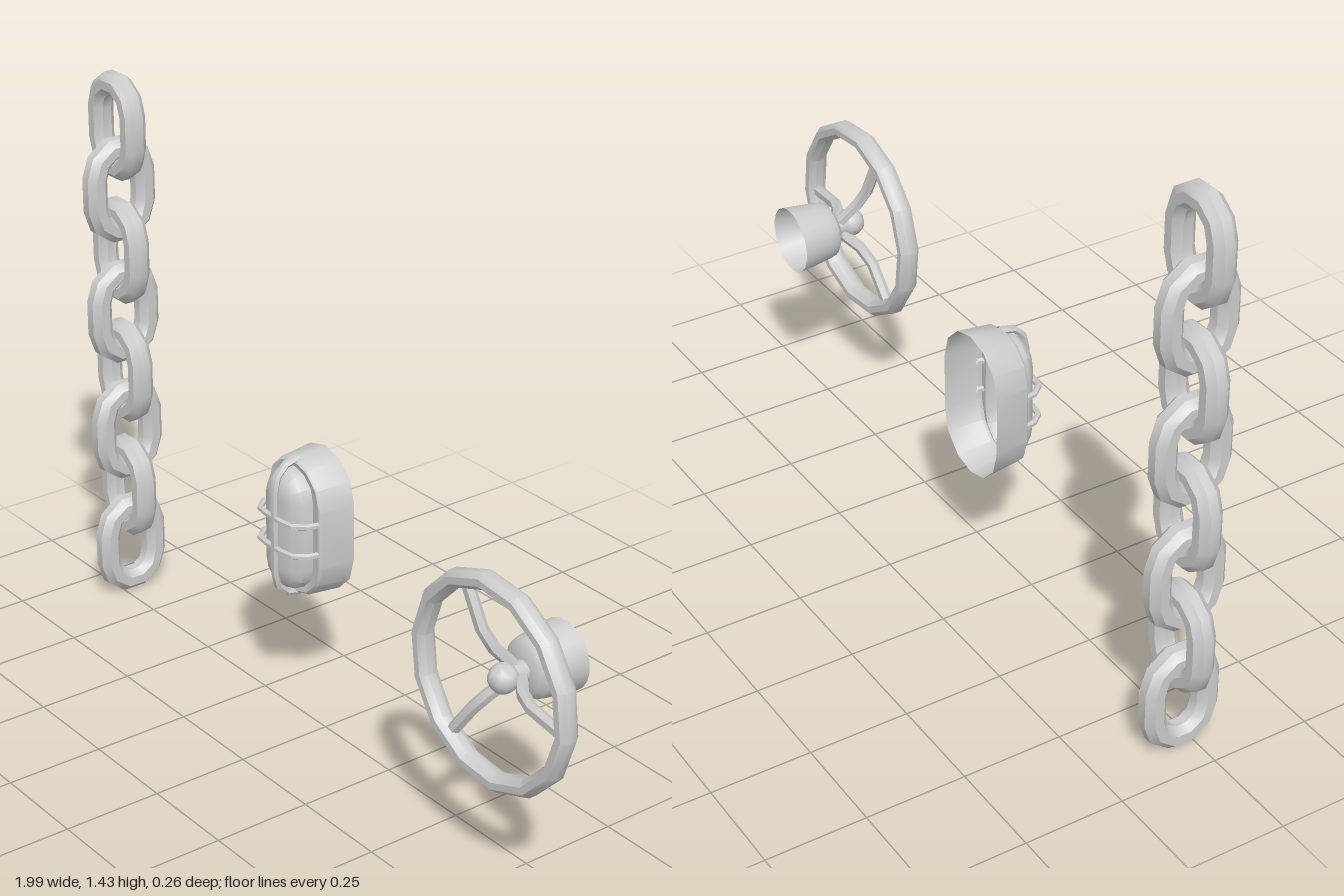
import * as THREE from 'three';
import { toCreasedNormals } from 'three/addons/utils/BufferGeometryUtils.js';

const material = new THREE.MeshStandardMaterial({ color: 0xcccccc, side: THREE.DoubleSide });

function addMesh(parent, name, geometry, x = 0, y = 0, z = 0) {
  const mesh = new THREE.Mesh(toCreasedNormals(geometry, 0.7), material);
  mesh.name = name;
  mesh.position.set(x, y, z);
  parent.add(mesh);
  return mesh;
}

// Skin a series of equal closed loops of [x, y, z]
function loft(loops, closed = false) {
  const n = loops[0].length, index = [];
  const rows = closed ? loops.length : loops.length - 1;
  for (let j = 0; j < rows; j++) {
    const k = (j + 1) % loops.length;
    for (let i = 0; i < n; i++) {
      const a = j * n + i, b = j * n + (i + 1) % n;
      const c = k * n + (i + 1) % n, d = k * n + i;
      index.push(a, b, c, a, c, d);
    }
  }
  const geometry = new THREE.BufferGeometry();
  geometry.setAttribute('position', new THREE.Float32BufferAttribute(loops.flat(2), 3));
  geometry.setIndex(index);
  geometry.computeVertexNormals();
  return geometry;
}

// Sweep a bar along a path of [x, y]; width lies in the plane, depth across it
function sweep(path, width, depth, sides, closed = false) {
  const pts = path.map(([x, y]) => new THREE.Vector2(x, y));
  const n = pts.length, last = n - 1;
  const grow = 1 / Math.cos(Math.PI / sides);
  const loops = pts.map((p, i) => {
    const prev = closed ? pts[(i + last) % n] : pts[Math.max(i - 1, 0)];
    const next = closed ? pts[(i + 1) % n] : pts[Math.min(i + 1, last)];
    const t = p.clone().sub(prev).normalize().add(next.clone().sub(p).normalize()).normalize();
    return Array.from({ length: sides }, (_, k) => {
      const a = ((k + 0.5) / sides) * Math.PI * 2;
      const u = Math.cos(a) * width / 2 * grow, v = Math.sin(a) * depth / 2 * grow;
      return [p.x + t.y * u, p.y - t.x * u, -v];
    });
  });
  return loft(loops, closed);
}

// Upright stadium outline: two half circles joined by straight sides
function stadium(radius, half, segments, z = 0) {
  const points = [];
  for (const side of [1, -1]) {
    for (let i = 0; i <= segments; i++) {
      const a = (i / segments) * Math.PI;
      points.push([side * radius * Math.cos(a), side * (half + radius * Math.sin(a)), z]);
    }
  }
  return points;
}

// Extend a half path to a symmetrical one across x = 0
const mirrorPath = (half) => [...half, ...half.slice().reverse().map(([x, y]) => [-x, y])];

function createChain() {
  const chain = new THREE.Group();
  chain.name = 'chain';
  const link = sweep(stadium(0.071, 0.04, 5), 0.058, 0.06, 8, true);
  for (let i = 0; i < 8; i++) {
    const mesh = addMesh(chain, 'chainLink', link, 0, 0.135 + i * 0.166, 0);
    if (i % 2 === 0) mesh.rotation.y = Math.PI / 2;
  }
  chain.position.set(-0.899, 0, -0.033);
  return chain;
}

function createLamp() {
  const lamp = new THREE.Group();
  lamp.name = 'bulkheadLamp';

  // Tapered shell open at the back, with a front lip
  addMesh(lamp, 'lampHousing', loft([
    stadium(0.115, 0.075, 6, -0.103), stadium(0.106, 0.075, 6, -0.014),
    stadium(0.1, 0.075, 6, -0.008), stadium(0.072, 0.088, 6, -0.012),
  ]));

  // Rounded cover
  addMesh(lamp, 'lampGlass', loft([
    stadium(0.073, 0.088, 6, -0.015), stadium(0.07, 0.088, 6, 0.015),
    stadium(0.052, 0.088, 6, 0.036), stadium(0.025, 0.088, 6, 0.044),
    stadium(0, 0.088, 6, 0.046),
  ]));

  // Guard wires
  const across = sweep(mirrorPath([[0.098, -0.025], [0.09, 0.015], [0.065, 0.044], [0.03, 0.049]]), 0.014, 0.014, 6);
  across.rotateX(Math.PI / 2);
  for (const y of [-0.04, 0.04]) addMesh(lamp, 'guardWire', across, 0, y, 0);
  const upright = sweep(mirrorPath([[0.181, -0.025], [0.172, 0.015], [0.147, 0.04], [0.11, 0.048]]), 0.016, 0.02, 6);
  upright.rotateX(Math.PI / 2).rotateZ(Math.PI / 2);
  addMesh(lamp, 'guardUpright', upright);

  lamp.position.set(-0.137, 0.495, 0);
  return lamp;
}

function createHandwheel() {
  const wheel = new THREE.Group();
  wheel.name = 'handwheel';

  // Rim
  const rimPath = Array.from({ length: 14 }, (_, i) => {
    const a = (i / 14) * Math.PI * 2;
    return [0.242 * Math.cos(a), 0.242 * Math.sin(a)];
  });
  addMesh(wheel, 'rim', sweep(rimPath, 0.042, 0.052, 8, true), 0, 0, 0.103);

  // Dished spokes
  const spoke = sweep([[0.012, 0.035], [0.035, 0.05], [0.07, 0.077], [0.12, 0.096], [0.235, 0.103]], 0.026, 0.028, 6);
  spoke.rotateX(Math.PI / 2);
  for (let i = 0; i < 3; i++) {
    addMesh(wheel, 'spoke', spoke).rotation.z = i * Math.PI * 2 / 3;
  }

  // Shaft with a round cap
  const shaft = new THREE.CylinderGeometry(0.026, 0.026, 0.08, 12);
  shaft.rotateX(Math.PI / 2);
  addMesh(wheel, 'shaft', shaft, 0, 0, 0.04);
  addMesh(wheel, 'hubCap', new THREE.SphereGeometry(0.036, 14, 10), 0, 0, 0.073);

  // Hollow mount, open at the back
  const profile = [[0.086, -0.103], [0.076, -0.02], [0.071, 0.003], [0.055, 0.016], [0, 0.019]];
  const mount = new THREE.LatheGeometry(profile.map(([r, z]) => new THREE.Vector2(r, z)), 20);
  mount.rotateX(Math.PI / 2);
  addMesh(wheel, 'mount', mount);

  wheel.rotation.z = -0.1;
  wheel.position.set(0.734, 0.503, 0);
  return wheel;
}

export function createModel() {
  const model = new THREE.Group();
  model.name = 'industrialFittings';
  model.add(createChain(), createLamp(), createHandwheel());
  return model;
}
